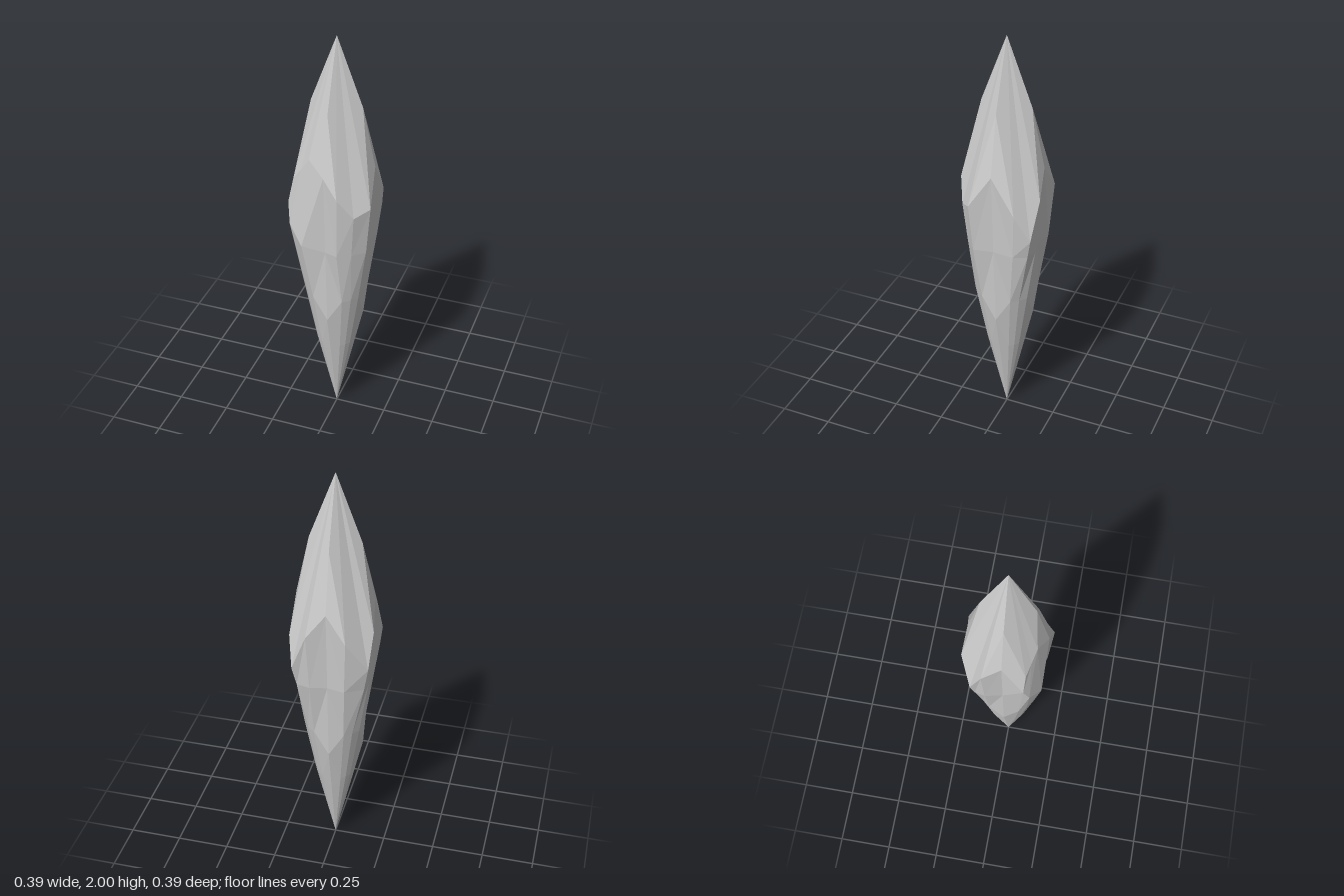
import * as THREE from 'three';

// Widest corners of the four lobes, ordered by angle from +x towards +z.
const LOBES = [
  [[0.195, 1.24, 0.105], [0.135, 1.21, 0.16], [0.067, 1.31, 0.195]],
  [[-0.08, 1.46, 0.14], [-0.125, 1.39, 0.122], [-0.168, 1.33, 0.105]],
  [[-0.196, 1.29, -0.09], [-0.185, 1.12, -0.145], [-0.092, 1.27, -0.196]],
  [[0.09, 1.28, -0.196], [0.16, 1.1, -0.18], [0.187, 1.23, -0.11]],
];
// The chipped lobe keeps its full width lower down.
const CHIPPED = 1;
const CHIP = [[-0.11, 1.02, 0.172], [-0.182, 1.1, 0.127], [-0.197, 1.2, 0.1]];

// Valley profile between lobes: [radius, height].
const VALLEY = [[0.12, 1.68], [0.18, 1.4], [0.158, 1.0], [0.135, 0.6], [0.079, 0.35]];

const vec = (p) => new THREE.Vector3(...p);

function valleyColumn(q) {
  const a = q * Math.PI / 2;
  return VALLEY.map(([r, y]) => new THREE.Vector3(r * Math.cos(a), y, r * Math.sin(a)));
}

function lobeColumn(q, k) {
  const wide = vec(LOBES[q][k]);
  const tip = new THREE.Vector3(0, 2, 0);
  const upper = tip.clone().lerp(wide, 0.32 / (2 - wide.y));
  const mid = q === CHIPPED ? vec(CHIP[k])
    : new THREE.Vector3(wide.x * 0.89, 1.0, wide.z * 0.89);
  // Lower body follows regular angles around each diagonal.
  const a = q * Math.PI / 2 + Math.PI / 4 + (k - 1) * 0.29;
  const ring = (r, y) => new THREE.Vector3(r * Math.cos(a), y, r * Math.sin(a));
  return [upper, wide, mid, ring(0.15, 0.72), ring(0.094, 0.42)];
}

export function createModel() {
  const top = new THREE.Vector3(0, 2, 0);
  const bottom = new THREE.Vector3(0, 0, 0);

  // Sixteen columns: a valley, then three lobe corners, in each quarter.
  const columns = [];
  for (let q = 0; q < 4; q++) {
    columns.push(valleyColumn(q));
    for (let k = 0; k < 3; k++) columns.push(lobeColumn(q, k));
  }

  const points = [];
  const tri = (a, b, c) => points.push(a, b, c);
  const n = columns.length;
  for (let i = 0; i < n; i++) {
    const a = columns[i], b = columns[(i + 1) % n];
    const last = a.length - 1;
    tri(top, b[0], a[0]);
    for (let j = 0; j < last; j++) {
      // The diagonal leaves from the valley side so its facets meet as kites.
      if (i % 4 === 3) {
        tri(a[j], b[j], a[j + 1]);
        tri(b[j], b[j + 1], a[j + 1]);
      } else {
        tri(a[j], b[j], b[j + 1]);
        tri(a[j], b[j + 1], a[j + 1]);
      }
    }
    tri(a[last], b[last], bottom);
  }

  const geometry = new THREE.BufferGeometry().setFromPoints(points);
  geometry.computeVertexNormals();
  const shard = new THREE.Mesh(geometry,
    new THREE.MeshStandardMaterial({ color: 0xcccccc, flatShading: true }));
  shard.name = 'crystalShard';

  const group = new THREE.Group();
  group.name = 'crystal';
  group.add(shard);
  return group;
}
